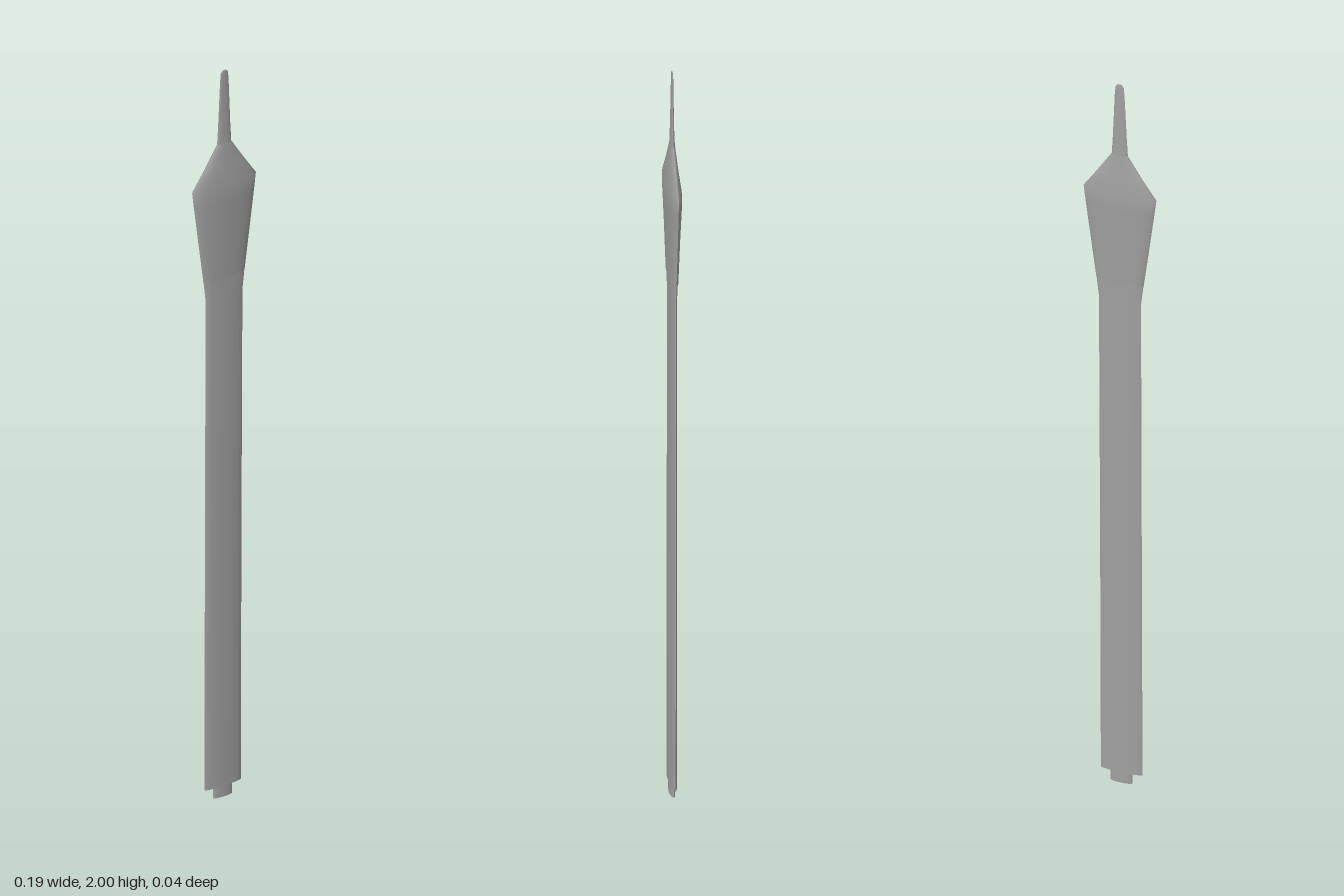
import * as THREE from 'three';

const SEG = 8; // segments on each face of the blade

// Loft through flat elliptical sections [y, left x, right x, half thickness];
// front and back faces have their own vertices so the side edges stay sharp.
function loft(name, sections, material) {
  const pos = [], idx = [];
  const row = SEG + 1;
  for (const side of [1, -1]) {
    const base = pos.length / 3;
    for (const [y, x0, x1, t] of sections) {
      const cx = (x0 + x1) / 2, hw = (x1 - x0) / 2;
      for (let i = 0; i <= SEG; i++) {
        const a = (Math.PI * i) / SEG;
        pos.push(cx - side * Math.cos(a) * hw, y, side * Math.sin(a) * t);
      }
    }
    for (let j = 0; j < sections.length - 1; j++) {
      for (let i = 0; i < SEG; i++) {
        const a = base + j * row + i, b = a + 1, c = b + row, d = a + row;
        idx.push(a, b, c, a, c, d);
      }
    }
  }
  // end caps
  for (const [end, s] of [[0, sections[0]], [1, sections[sections.length - 1]]]) {
    const [y, x0, x1, t] = s;
    const base = pos.length / 3, n = SEG * 2;
    pos.push((x0 + x1) / 2, y, 0);
    for (let i = 0; i < n; i++) {
      const a = (2 * Math.PI * i) / n;
      pos.push((x0 + x1) / 2 - Math.cos(a) * (x1 - x0) / 2, y, Math.sin(a) * t);
    }
    for (let i = 0; i < n; i++) {
      const p = base + 1 + i, q = base + 1 + ((i + 1) % n);
      if (end) idx.push(base, p, q);
      else idx.push(base, q, p);
    }
  }
  const geo = new THREE.BufferGeometry();
  geo.setAttribute('position', new THREE.Float32BufferAttribute(pos, 3));
  geo.setIndex(idx);
  geo.computeVertexNormals();
  const mesh = new THREE.Mesh(geo, material);
  mesh.name = name;
  return mesh;
}

export function createModel() {
  const group = new THREE.Group();
  group.name = 'blade';
  const steel = new THREE.MeshStandardMaterial({ color: 0xa0a0a0 });
  steel.name = 'steel grey';

  // short stub at the foot
  group.add(loft('tang', [
    [0, -0.034, 0.024, 0.007],
    [0.035, -0.034, 0.024, 0.007],
  ], steel));

  // long, slightly leaning shaft
  group.add(loft('shaft', [
    [0.03, -0.061, 0.05, 0.008],
    [0.7, -0.059, 0.052, 0.008],
    [1.38, -0.057, 0.055, 0.008],
    [1.44, -0.064, 0.062, 0.008],
  ], steel));

  // flared head, shoulder and narrow point
  group.add(loft('head', [
    [1.435, -0.064, 0.062, 0.011],
    [1.56, -0.081, 0.079, 0.0145],
    [1.65, -0.093, 0.091, 0.018],
    [1.69, -0.098, 0.096, 0.018],
    [1.74, -0.062, 0.061, 0.012],
    [1.8, -0.022, 0.021, 0.006],
  ], steel));
  group.add(loft('point', [
    [1.8, -0.022, 0.021, 0.006],
    [1.85, -0.019, 0.018, 0.004],
    [1.97, -0.013, 0.013, 0.002],
    [1.993, -0.011, 0.011, 0.002],
    [2.0, -0.006, 0.006, 0.001],
  ], steel));
  return group;
}
